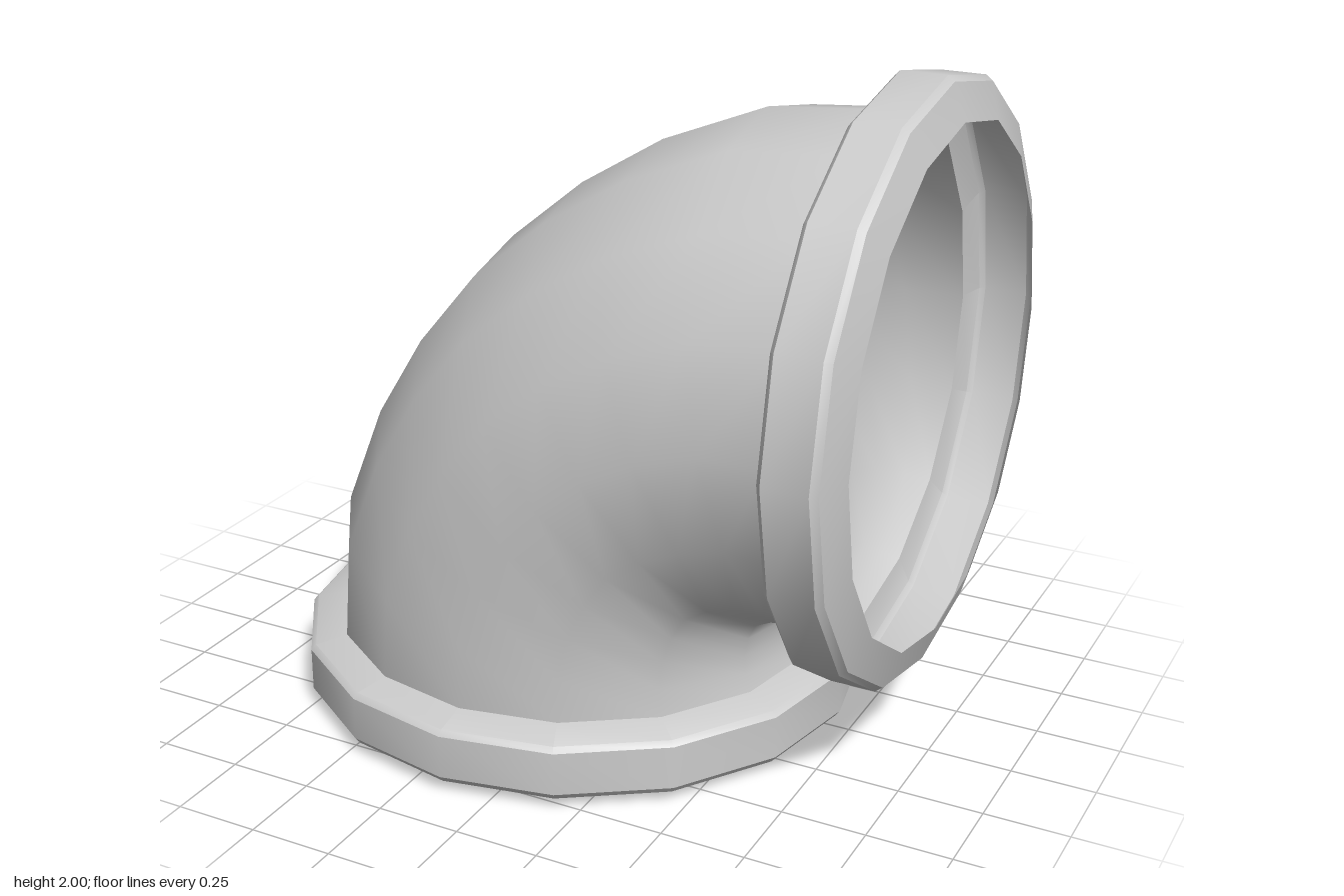
import * as THREE from 'three';
import { toCreasedNormals } from 'three/addons/utils/BufferGeometryUtils.js';

const SIDES = 16;
const RADIUS = 0.75;

// The bend is symmetric about the diagonal x + y = 1: mirror the first half of a curve.
function mirrorCurve(half) {
  const rest = half.slice(0, -1).reverse().map(([x, y]) => [1 - y, 1 - x]);
  return [...half, ...rest];
}

// Thin-walled elbow: rings spanned between the outer and inner bend curves.
function elbowGeometry() {
  const outer = mirrorCurve([[-0.89, 0.22], [-0.86, 0.56], [-0.73, 0.88], [-0.57, 1.14], [-0.375, 1.375]]);
  const inner = mirrorCurve([[0.61, 0.22], [0.593, 0.262], [0.584, 0.31], [0.587, 0.36], [0.602, 0.398]]);
  const positions = [];
  const indices = [];
  outer.forEach(([ox, oy], i) => {
    const [ix, iy] = inner[i];
    for (let j = 0; j < SIDES; j++) {
      const a = (j / SIDES) * Math.PI * 2;
      const t = (1 + Math.cos(a)) / 2;
      positions.push(ix + (ox - ix) * t, iy + (oy - iy) * t, RADIUS * Math.sin(a));
      if (i < outer.length - 1) {
        const p = i * SIDES + j;
        const q = i * SIDES + ((j + 1) % SIDES);
        indices.push(p, q, p + SIDES, q, q + SIDES, p + SIDES);
      }
    }
  });
  const geometry = new THREE.BufferGeometry();
  geometry.setAttribute('position', new THREE.Float32BufferAttribute(positions, 3));
  geometry.setIndex(indices);
  geometry.computeVertexNormals();
  return geometry;
}

// Hollow collar, from the mouth (y = 0) back to the pipe wall.
function collarGeometry() {
  const profile = [
    [0.74, 0], [0.845, 0.035], [0.86, 0.055], [0.86, 0.185], [0.845, 0.2], [RADIUS, 0.22],
  ].map(([r, y]) => new THREE.Vector2(r, y));
  return toCreasedNormals(new THREE.LatheGeometry(profile, SIDES), 0.6);
}

export function createModel() {
  const group = new THREE.Group();
  group.name = 'pipeElbow';
  const material = new THREE.MeshStandardMaterial({ color: 0xcccccc, side: THREE.DoubleSide });

  const add = (name, geometry) => {
    const mesh = new THREE.Mesh(geometry, material);
    mesh.name = name;
    group.add(mesh);
    return mesh;
  };

  add('elbowPipe', elbowGeometry());

  const collar = collarGeometry();
  add('bottomCollar', collar).position.set(-0.14, 0, 0);

  const sideCollar = add('sideCollar', collar);
  sideCollar.position.set(1, 1.14, 0);
  sideCollar.rotation.z = Math.PI / 2;

  return group;
}
